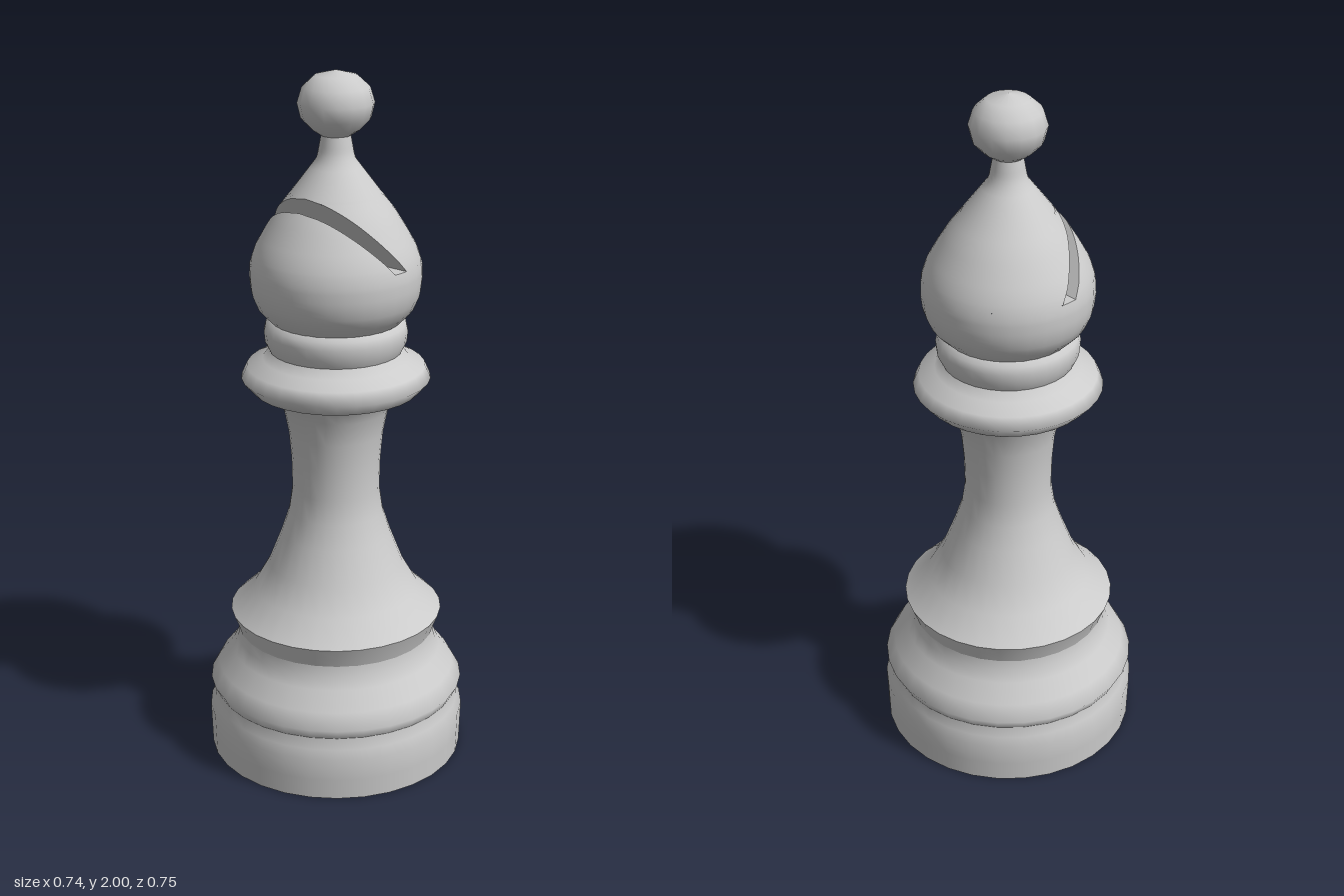
import * as THREE from 'three';

const material = new THREE.MeshStandardMaterial({ color: 0xcccccc });
const lerp = THREE.MathUtils.lerp;
const SIDES = 30;

// Turned sections, listed bottom to top as [radius, height]; each break is a crisp edge
const turned = {
  underside: [[0, 0], [0.37, 0]],
  foot: [[0.37, 0], [0.372, 0.06], [0.374, 0.125], [0.36, 0.15], [0.355, 0.185]],
  baseBulge: [[0.355, 0.185], [0.37, 0.215], [0.345, 0.26], [0.305, 0.31], [0.289, 0.345], [0.285, 0.375]],
  baseLip: [[0.285, 0.375], [0.295, 0.405], [0.307, 0.435]],
  stem: [[0.307, 0.435], [0.238, 0.5], [0.195, 0.575], [0.158, 0.67], [0.135, 0.74], [0.125, 0.81],
    [0.127, 0.9], [0.134, 0.98], [0.148, 1.05], [0.17, 1.09]],
  collar: [[0.17, 1.09], [0.235, 1.11], [0.266, 1.145], [0.25, 1.18], [0.205, 1.2], [0.186, 1.225]],
  neckRing: [[0.186, 1.225], [0.198, 1.25], [0.201, 1.28], [0.196, 1.302], [0.18, 1.315]],
};

// Head radius by height
const headProfile = [[0.18, 1.31], [0.215, 1.345], [0.234, 1.39], [0.239, 1.435], [0.237, 1.475],
  [0.222, 1.52], [0.194, 1.57], [0.163, 1.62], [0.113, 1.685], [0.052, 1.765], [0.04, 1.83]];
function headRadius(y) {
  let i = 1;
  while (i < headProfile.length - 1 && y > headProfile[i][1]) i++;
  const [r0, y0] = headProfile[i - 1], [r1, y1] = headProfile[i];
  return lerp(r0, r1, THREE.MathUtils.clamp((y - y0) / (y1 - y0), 0, 1));
}

// Slanted slot: its two walls as x by height, above a flat floor
const FLOOR = 1.485;
const lowerWall = (y) => -0.025 - (y - FLOOR) * 0.815;
const upperWall = (y) => 0.022 - (y - FLOOR) * 0.776;

// Height at which a wall runs out through the head's surface
function wallTop(wall) {
  let y = FLOOR;
  while (wall(y) > -headRadius(y)) y += 0.0005;
  return y;
}
const halfChord = (x, y) => Math.sqrt(Math.max(0, headRadius(y) ** 2 - x * x));
const cutAngle = (wall, y) => Math.acos(THREE.MathUtils.clamp(wall(y) / headRadius(y), -1, 1));

function addMesh(parent, name, geometry) {
  const mesh = new THREE.Mesh(geometry, material);
  mesh.name = name;
  parent.add(mesh);
}

function lathe(points, sides = SIDES) {
  return new THREE.LatheGeometry(points.map(([r, y]) => new THREE.Vector2(r, y)), sides);
}

// Grid surface over u, v in 0..1, with optional exact normals
function patch(point, nu, nv, normal) {
  const positions = [], normals = [], index = [];
  for (let j = 0; j <= nv; j++) {
    for (let i = 0; i <= nu; i++) {
      positions.push(...point(i / nu, j / nv));
      if (normal) normals.push(...normal(i / nu, j / nv));
      if (i < nu && j < nv) {
        const a = j * (nu + 1) + i, c = a + nu + 1;
        index.push(a, a + 1, c, a + 1, c + 1, c);
      }
    }
  }
  const geometry = new THREE.BufferGeometry();
  geometry.setAttribute('position', new THREE.Float32BufferAttribute(positions, 3));
  geometry.setIndex(index);
  if (normal) geometry.setAttribute('normal', new THREE.Float32BufferAttribute(normals, 3));
  else geometry.computeVertexNormals();
  return geometry;
}

// Outer head surface between two heights, over a range of angles that may vary with height
function headSkin(y0, y1, range, rows) {
  const at = (u, v) => {
    const y = lerp(y0, y1, v), [start, end] = range(y);
    return [y, lerp(end, start, u)];
  };
  return patch((u, v) => {
    const [y, a] = at(u, v), r = headRadius(y);
    return [r * Math.cos(a), y, r * Math.sin(a)];
  }, SIDES, rows, (u, v) => {
    const [y, a] = at(u, v);
    const lo = Math.max(1.31, y - 0.025), hi = Math.min(1.83, y + 0.025);
    const slope = (headRadius(hi) - headRadius(lo)) / (hi - lo);
    return new THREE.Vector3(Math.cos(a), -slope, Math.sin(a)).normalize().toArray();
  });
}

// Flat slot wall; side sets which way it faces
function slotWall(wall, top, side) {
  return patch((u, v) => {
    const y = lerp(FLOOR, top, v), x = wall(y);
    return [x, y, side * lerp(-1, 1, u) * halfChord(x, y)];
  }, 2, 20);
}

export function createModel() {
  const model = new THREE.Group();
  model.name = 'chessPiece';

  for (const [name, points] of Object.entries(turned)) addMesh(model, name, lathe(points));

  // Head, split around the slot
  const head = new THREE.Group();
  head.name = 'head';
  model.add(head);
  const lowerTop = wallTop(lowerWall), upperTop = wallTop(upperWall);
  const full = () => [-Math.PI, Math.PI];
  addMesh(head, 'headBottom', headSkin(1.31, FLOOR, full, 14));
  addMesh(head, 'headMain', headSkin(FLOOR, upperTop, (y) => {
    const a = cutAngle(upperWall, y);
    return [-a, a];
  }, 20));
  addMesh(head, 'headLobe', headSkin(FLOOR, lowerTop, (y) => {
    const a = cutAngle(lowerWall, y);
    return [a, 2 * Math.PI - a];
  }, 20));
  addMesh(head, 'headTop', headSkin(upperTop, 1.83, full, 14));

  // Slot faces
  addMesh(head, 'slotUpperWall', slotWall(upperWall, upperTop, 1));
  addMesh(head, 'slotLowerWall', slotWall(lowerWall, lowerTop, -1));
  addMesh(head, 'slotFloor', patch((u, v) => {
    const x = lerp(lowerWall(FLOOR), upperWall(FLOOR), v);
    return [x, FLOOR, lerp(-1, 1, u) * halfChord(x, FLOOR)];
  }, 2, 4));

  // Ball on top
  addMesh(model, 'finial', lathe([[0.04, 1.825], [0.066, 1.842], [0.095, 1.872], [0.105, 1.913],
    [0.092, 1.955], [0.058, 1.986], [0, 2]], 16));

  return model;
}
